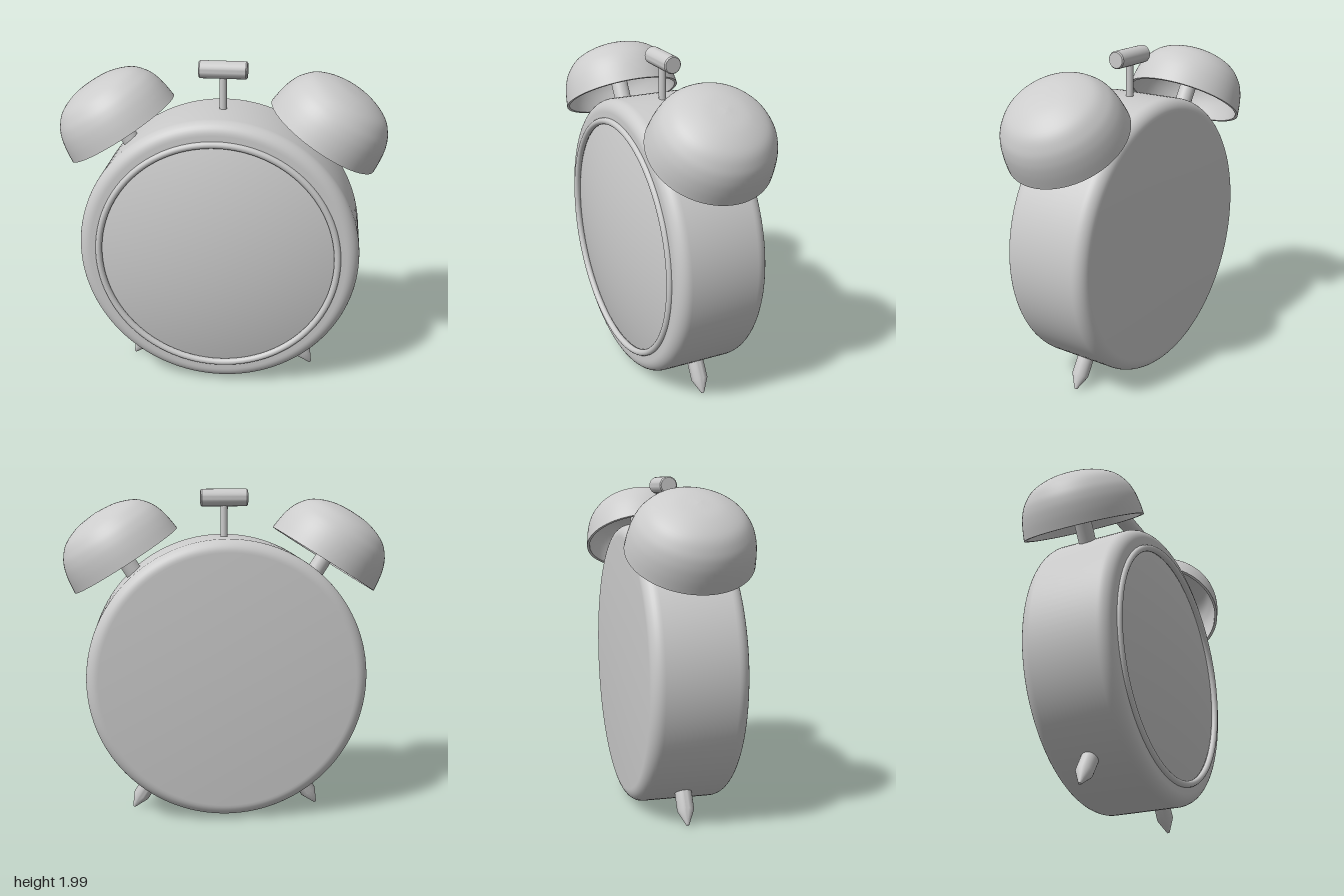
import * as THREE from 'three';
import { toCreasedNormals } from 'three/addons/utils/BufferGeometryUtils.js';

const V2 = (x, y) => new THREE.Vector2(x, y);
const material = new THREE.MeshStandardMaterial({ color: 0xcccccc, side: THREE.DoubleSide });
const CENTRE_Y = 0.87;   // centre of the round case
const TILT = 0.56;       // lean of bells and feet from the vertical

function add(parent, name, geometry, x = 0, y = 0, z = 0) {
  const mesh = new THREE.Mesh(geometry, material);
  mesh.name = name;
  mesh.position.set(x, y, z);
  parent.add(mesh);
  return mesh;
}

const lathe = (points, segments = 72) =>
  toCreasedNormals(new THREE.LatheGeometry(points, segments), 0.6);

// quarter-round corner in profile space
function corner(cx, cy, r, from) {
  return Array.from({ length: 9 }, (_, i) => {
    const a = from + (i / 8) * Math.PI / 2;
    return V2(cx + r * Math.cos(a), cy + r * Math.sin(a));
  });
}

// thin-walled bell, opening at y = 0
function bellGeometry() {
  const profile = (pts) => new THREE.SplineCurve(pts.map(([x, y]) => V2(x, y))).getPoints(32);
  const outer = profile([[0.365, 0], [0.355, 0.08], [0.338, 0.15], [0.307, 0.212],
    [0.244, 0.276], [0.13, 0.321], [0, 0.335]]);
  const inner = profile([[0, 0.317], [0.125, 0.303], [0.232, 0.262], [0.29, 0.202],
    [0.32, 0.145], [0.337, 0.08], [0.348, 0]]);
  inner[0].x = 0;
  outer[outer.length - 1].x = 0;
  return lathe([...inner, ...outer]);
}

export function createModel() {
  const clock = new THREE.Group();
  clock.name = 'alarmClock';

  // round case with soft edges and a recess for the face
  const dial = new THREE.Group();
  dial.name = 'clockBody';
  dial.position.y = CENTRE_Y;
  dial.rotation.x = Math.PI / 2;
  clock.add(dial);
  const r = 0.075;
  add(dial, 'case', lathe([
    V2(0, -0.27),
    ...corner(0.845 - r, -0.27 + r, r, -Math.PI / 2),
    ...corner(0.845 - r, 0.29 - r, r, 0),
    V2(0.712, 0.29), V2(0.712, 0.255), V2(0, 0.255),
  ], 128));

  // domed glass
  const R = 2.8;
  add(dial, 'glass',
    new THREE.SphereGeometry(R, 96, 16, 0, Math.PI * 2, 0, Math.asin(0.705 / R)), 0, 0.365 - R, 0);

  // bezel ring
  const bezel = add(dial, 'bezel', new THREE.TorusGeometry(0.717, 0.02, 16, 128), 0, 0.292, 0);
  bezel.rotation.x = Math.PI / 2;

  // bells on posts, and pointed feet
  const bell = bellGeometry();
  const foot = lathe([V2(0, -0.09), V2(0.008, -0.088), V2(0.05, 0), V2(0.05, 0.28), V2(0, 0.28)], 32);
  for (const [side, s] of [['left', 1], ['right', -1]]) {
    const ringer = new THREE.Group();
    ringer.name = side + 'Bell';
    ringer.position.set(s * 0.6, 1.575, 0);
    ringer.rotation.z = -s * TILT;
    clock.add(ringer);
    add(ringer, side + 'BellDome', bell);
    add(ringer, side + 'BellPost', new THREE.CylinderGeometry(0.052, 0.052, 0.52, 32), 0, 0.07, 0);

    const leg = add(clock, side + 'Foot', foot, s * 0.534, 0.084, 0);
    leg.rotation.z = s * TILT;
  }

  // hammer between the bells
  add(clock, 'hammerStem', new THREE.CylinderGeometry(0.022, 0.022, 0.26, 24), 0.007, 1.8, 0);
  const profile = [V2(0, -0.142), V2(0.046, -0.142), V2(0.052, -0.134),
    V2(0.052, 0.134), V2(0.046, 0.142), V2(0, 0.142)];
  const head = add(clock, 'hammerHead', lathe(profile, 40), 0.007, 1.947, 0);
  head.rotation.z = Math.PI / 2;

  return clock;
}
